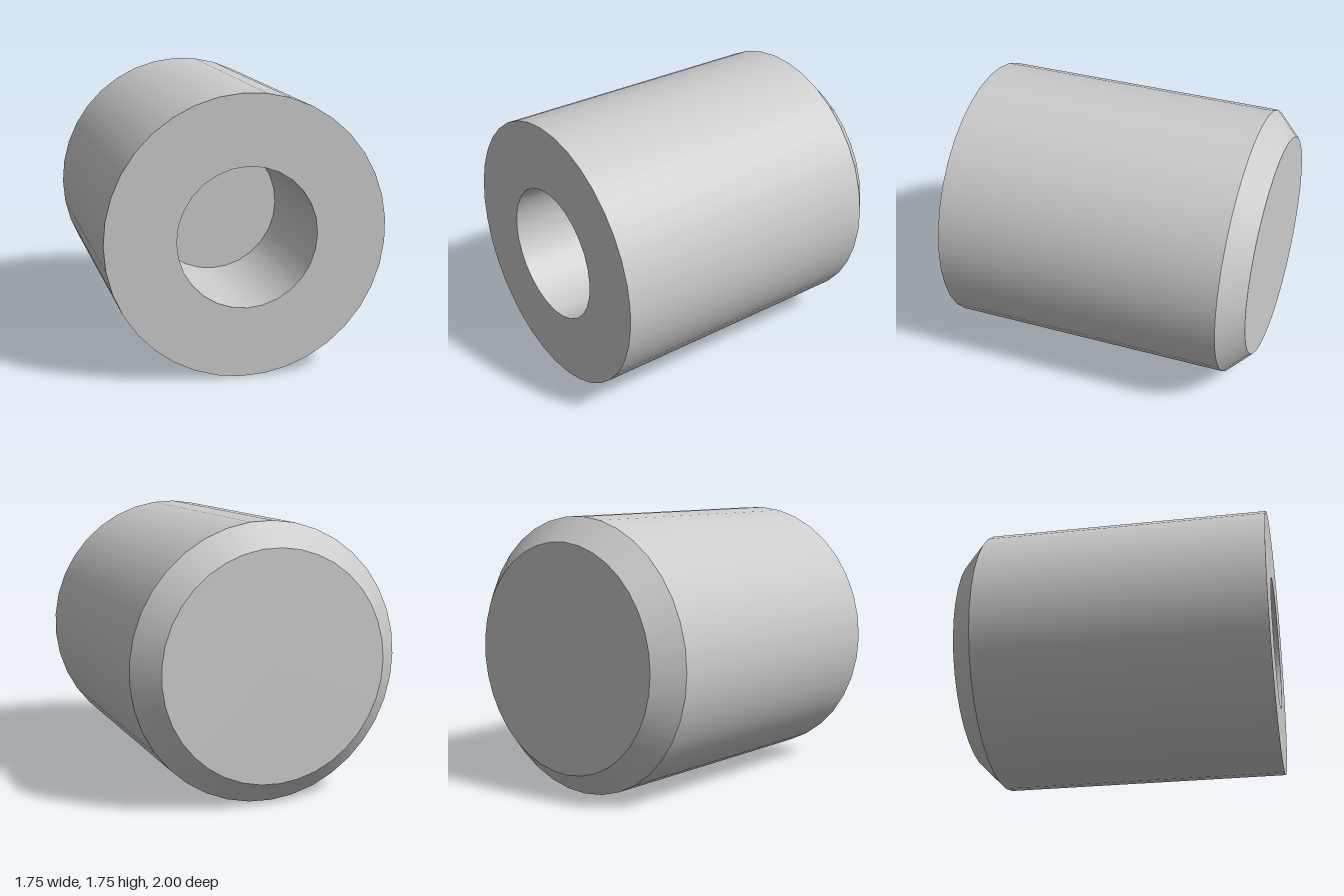
import * as THREE from 'three';

const R = 0.875;            // outer radius, also the height of the axis
const BORE = R / 2;         // bore radius
const BEVEL = 0.15;         // chamfer at the closed end
const BORE_END = 0.125;     // z of the bore's floor
const SIDES = 37, BORE_SIDES = 28;

export function createModel() {
  const group = new THREE.Group();
  group.name = 'boredCylinder';
  const material = new THREE.MeshStandardMaterial({ color: 0xcccccc });

  const add = (name, geometry, z = 0) => {
    const mesh = new THREE.Mesh(geometry, material);
    mesh.name = name;
    mesh.position.set(0, R, z);
    group.add(mesh);
  };

  // One smooth band round the z axis between two [radius, z] points;
  // rising z faces outward, falling z faces inward.
  const band = (name, from, to, sides) => add(name,
    new THREE.LatheGeometry(
      [new THREE.Vector2(...from), new THREE.Vector2(...to)], sides, -Math.PI / 2
    ).rotateX(Math.PI / 2));

  const ring = (r, n) => Array.from({ length: n }, (_, i) => {
    const a = Math.PI + (i / n) * Math.PI * 2;
    return new THREE.Vector2(r * Math.cos(a), r * Math.sin(a));
  });

  // Outer wall and chamfer
  band('outerWall', [R, -1 + BEVEL], [R, 1], SIDES);
  band('chamfer', [R - BEVEL, -1], [R, -1 + BEVEL], SIDES);

  // Blind bore with a flat floor
  band('boreWall', [BORE, 1], [BORE, BORE_END], BORE_SIDES);
  add('boreFloor', new THREE.CircleGeometry(BORE, BORE_SIDES, Math.PI), BORE_END);

  // Ring-shaped front face
  const face = new THREE.Shape(ring(R, SIDES));
  face.holes.push(new THREE.Path(ring(BORE, BORE_SIDES)));
  add('frontFace', new THREE.ShapeGeometry(face), 1);

  // Closed back face
  add('backFace', new THREE.CircleGeometry(R - BEVEL, SIDES).rotateY(Math.PI), -1);

  return group;
}
